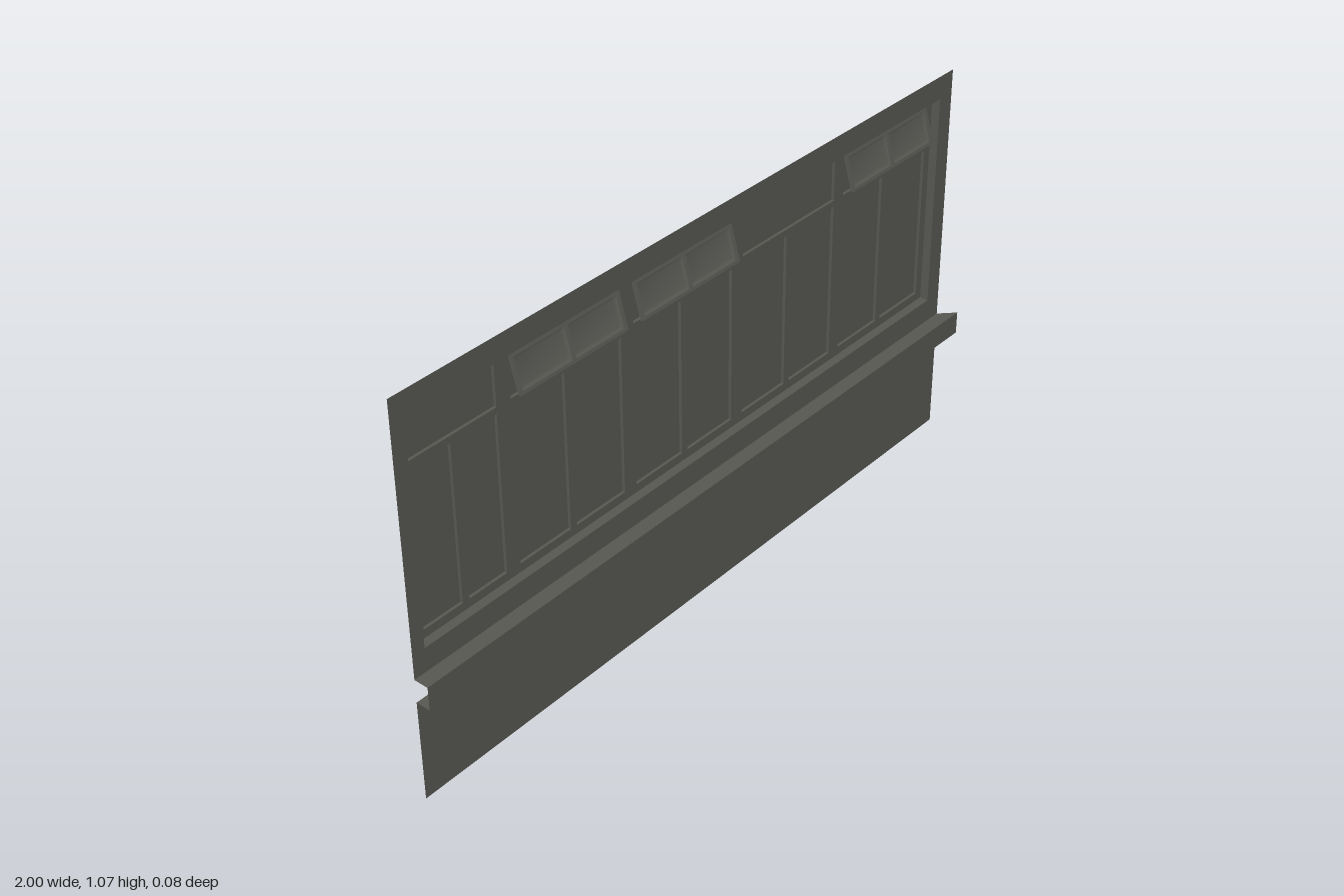
import * as THREE from 'three';

const X0 = -1, X1 = 0.96, TOP = 1.07;               // wall outline
const LEDGE = { y0: 0.283, y1: 0.347, z: 0.04 };    // projecting band
const OPEN = { x0: -0.963, x1: 0.91, y0: 0.412, y1: 1.006, z: -0.04 }; // window recess
const BAYS = [[-0.94, -0.683], [-0.64, -0.288], [-0.247, 0.104], [0.145, 0.5], [0.538, 0.887]];
const VENT_BAYS = [1, 2, 4];
const LOWER = [0.435, 0.86], UPPER = [0.877, 0.995];

// Adds a rectangle to a shape or path
function rect(path, x0, y0, x1, y1) {
  path.moveTo(x0, y0);
  path.lineTo(x1, y0);
  path.lineTo(x1, y1);
  path.lineTo(x0, y1);
  path.closePath();
  return path;
}

// Flat four-cornered face
function quad(a, b, c, d) {
  const g = new THREE.BufferGeometry();
  g.setAttribute('position', new THREE.Float32BufferAttribute([...a, ...b, ...c, ...a, ...c, ...d], 3));
  g.computeVertexNormals();
  return g;
}

// Rectangular frame sheet with rectangular holes
function sheet(outer, holes) {
  const s = rect(new THREE.Shape(), ...outer);
  for (const h of holes) s.holes.push(rect(new THREE.Path(), ...h));
  return s;
}

export function createModel() {
  const stone = new THREE.MeshStandardMaterial({ color: 0x585853, side: THREE.DoubleSide });
  const model = new THREE.Group();
  model.name = 'windowWall';
  const add = (name, geometry, parent = model) => {
    const m = new THREE.Mesh(geometry, stone);
    m.name = name;
    parent.add(m);
    return m;
  };

  // Wall sheets below and above the ledge
  add('lowerWall', quad([X0, 0, 0], [X1, 0, 0], [X1, LEDGE.y0, 0], [X0, LEDGE.y0, 0]));
  add('upperWall', new THREE.ShapeGeometry(sheet([X0, LEDGE.y1, X1, TOP],
    [[OPEN.x0, OPEN.y0, OPEN.x1, OPEN.y1]])));

  // Ledge: open at the back, mitred at its right-hand end
  const { y0, y1, z } = LEDGE, xm = X1 + z;
  add('ledgeBottom', quad([X0, y0, 0], [X1, y0, 0], [xm, y0, z], [X0, y0, z]));
  add('ledgeFront', quad([X0, y0, z], [xm, y0, z], [xm, y1, z], [X0, y1, z]));
  add('ledgeTop', quad([X0, y1, z], [xm, y1, z], [X1, y1, 0], [X0, y1, 0]));

  // Reveal around the recess
  const corners = [[OPEN.x0, OPEN.y0], [OPEN.x0, OPEN.y1], [OPEN.x1, OPEN.y1], [OPEN.x1, OPEN.y0]];
  corners.forEach(([ax, ay], i) => {
    const [bx, by] = corners[(i + 1) % 4];
    add('reveal', quad([ax, ay, 0], [bx, by, 0], [bx, by, OPEN.z], [ax, ay, OPEN.z]));
  });

  // Panes: one upper and two lower lights per bay
  const panes = [];
  for (const [a, b] of BAYS) {
    const mid = (a + b) / 2;
    panes.push([a, UPPER[0], b, UPPER[1]],
      [a, LOWER[0], mid - 0.01, LOWER[1]], [mid + 0.01, LOWER[0], b, LOWER[1]]);
  }
  const frame = new THREE.ExtrudeGeometry(
    sheet([OPEN.x0, OPEN.y0, OPEN.x1, OPEN.y1], panes), { depth: 0.016, bevelEnabled: false });
  add('windowFrame', frame.translate(0, 0, OPEN.z));
  for (const [a, b, c, d] of panes) {
    const g = new THREE.PlaneGeometry(c - a, d - b);
    add('pane', g.translate((a + c) / 2, (b + d) / 2, OPEN.z + 0.008));
  }

  // Softly dished vent pane
  function dish(w, h) {
    const g = new THREE.PlaneGeometry(w, h, 3, 3), p = g.attributes.position;
    for (let i = 0; i < p.count; i++) {
      const col = i % 4, row = Math.floor(i / 4);
      if (col % 3 && row % 3) p.setZ(i, -0.006);
      if (col % 3) p.setX(i, (col === 1 ? -1 : 1) * (w / 2 - 0.008));
      if (row % 3) p.setY(i, (row === 1 ? 1 : -1) * (h / 2 - 0.008));
    }
    g.computeVertexNormals();
    return g;
  }

  // Open vents hinged at the top, bottoms swung forward
  for (const i of VENT_BAYS) {
    const [a, b] = BAYS[i], w = b - a - 0.008, h = 0.096, rim = 0.008;
    const vent = new THREE.Group();
    vent.name = 'openVent';
    const pw = (w - 3 * rim) / 2, ph = h - 2 * rim;
    const holes = [-1, 1].map((s) => {
      const cx = s * (pw + rim) / 2;
      const pane = add('ventPane', dish(pw, ph), vent);
      pane.position.set(cx, -h / 2, 0.003);
      return [cx - pw / 2, -h + rim, cx + pw / 2, -rim];
    });
    add('ventFrame', new THREE.ExtrudeGeometry(sheet([-w / 2, -h, w / 2, 0], holes),
      { depth: 0.008, bevelEnabled: false }), vent);
    vent.position.set((a + b) / 2, 0.983, -0.03);
    vent.rotation.x = -0.28;
    model.add(vent);
  }
  return model;
}
